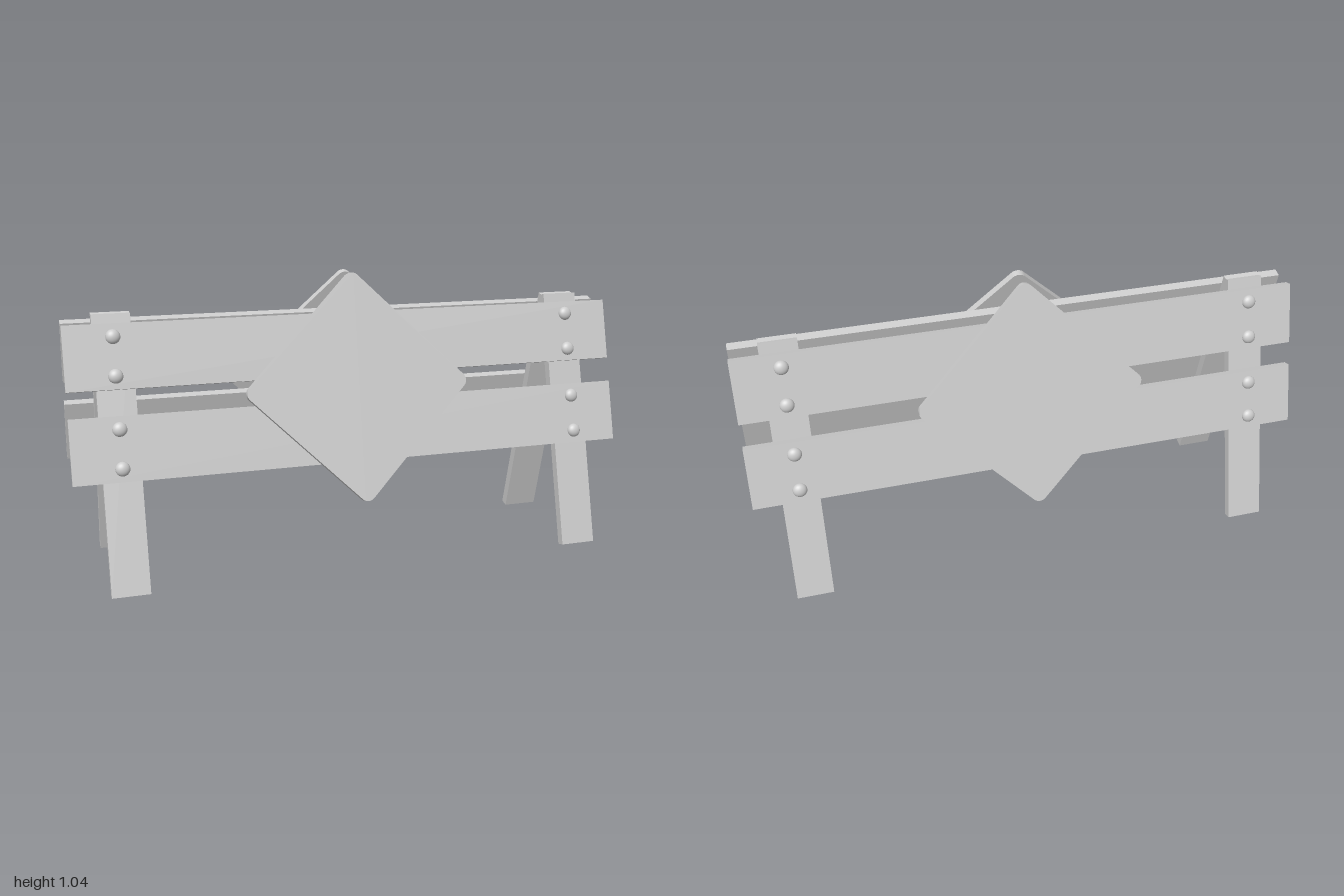
import * as THREE from 'three';

const TILT = THREE.MathUtils.degToRad(15);
const LEG_T = 0.033, BOARD_T = 0.032;
const FACE = LEG_T + BOARD_T; // outer face of the boards
const LEG_X = 0.835;

export function createModel() {
  const model = new THREE.Group();
  model.name = 'barricade';
  const material = new THREE.MeshStandardMaterial({ color: 0xcccccc });

  const add = (parent, name, geometry, x, y, z) => {
    const mesh = new THREE.Mesh(geometry, material);
    mesh.name = name;
    mesh.position.set(x, y, z);
    parent.add(mesh);
    return mesh;
  };

  const legGeo = new THREE.BoxGeometry(0.13, 0.95, LEG_T);
  const boardGeo = new THREE.BoxGeometry(2, 0.221, BOARD_T);

  // domed bolt head, flattened against the board
  const boltGeo = new THREE.SphereGeometry(0.025, 20, 8, 0, Math.PI * 2, 0, Math.PI / 2);
  boltGeo.rotateX(Math.PI / 2).scale(1, 1, 0.72);

  // square sign with rounded corners
  const h = 0.294, r = 0.03;
  const square = new THREE.Shape();
  for (let i = 0; i < 4; i++) {
    const a = i * Math.PI / 2;
    const c = (h - r) * Math.SQRT2;
    square.absarc(c * Math.cos(a + Math.PI / 4), c * Math.sin(a + Math.PI / 4), r, a, a + Math.PI / 2, false);
  }
  square.closePath();
  const signGeo = new THREE.ExtrudeGeometry(square, { depth: 0.024, bevelEnabled: false, curveSegments: 8 });
  signGeo.rotateZ(Math.PI / 4);

  // one leaning frame, laid out flat and then tilted about its feet
  const buildFrame = (name, turn) => {
    const side = new THREE.Group();
    side.name = name;
    side.rotation.y = turn;
    const frame = new THREE.Group();
    frame.name = name + 'Panel';
    frame.position.z = 0.233;
    frame.rotation.x = -TILT;
    side.add(frame);

    for (const s of [-1, 1]) {
      add(frame, s > 0 ? 'leftLeg' : 'rightLeg', legGeo, s * LEG_X, 0.475, LEG_T / 2);
    }
    for (const [boardName, y] of [['lowerBoard', 0.4945], ['upperBoard', 0.8035]]) {
      add(frame, boardName, boardGeo, 0, y, LEG_T + BOARD_T / 2);
      for (const s of [-1, 1]) {
        for (const dy of [-0.066, 0.066]) add(frame, 'bolt', boltGeo, s * LEG_X, y + dy, FACE);
      }
    }
    add(frame, 'diamondSign', signGeo, 0, 0.646, FACE + 0.004);
    return side;
  };

  model.add(buildFrame('frontFrame', 0), buildFrame('backFrame', Math.PI));
  return model;
}
